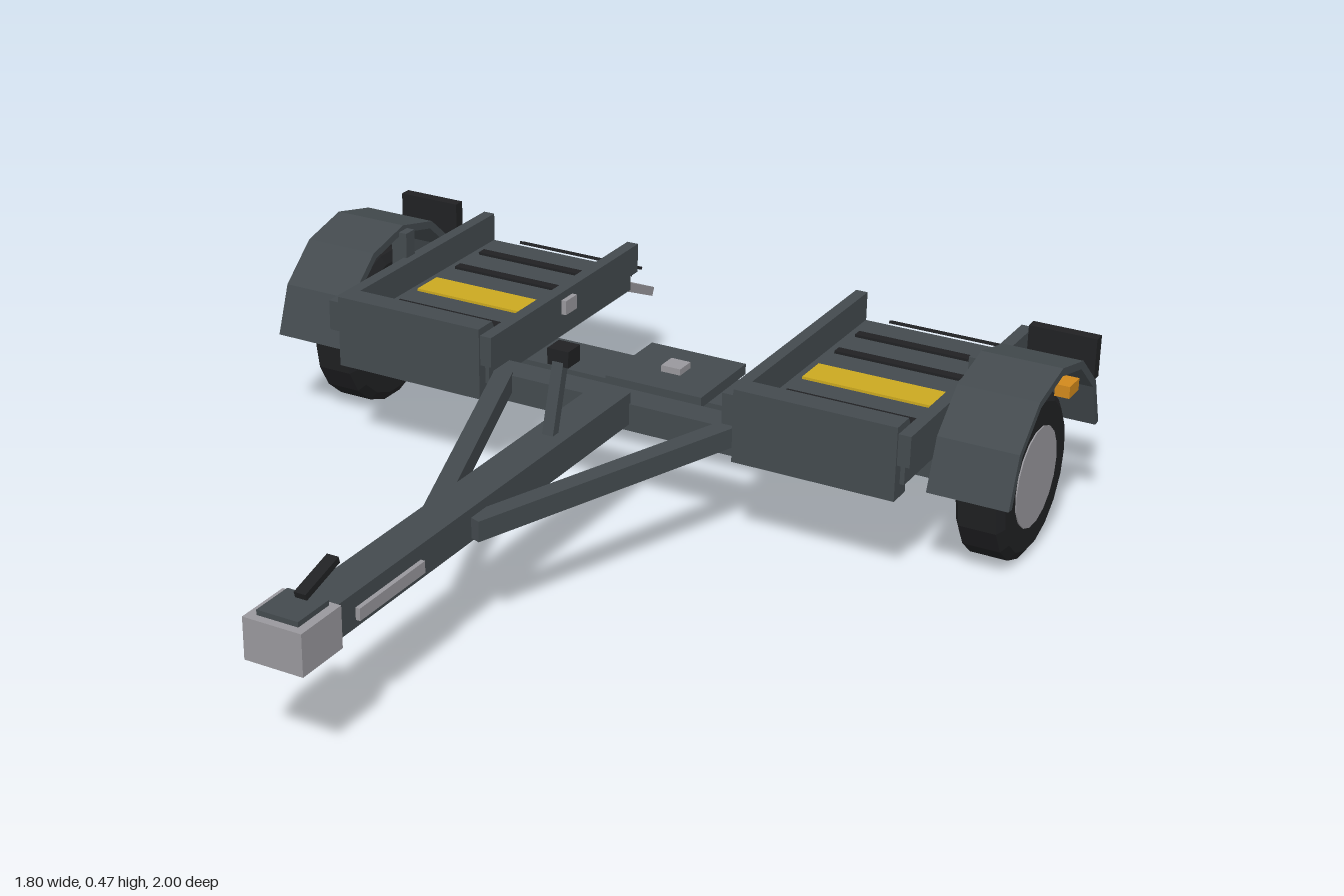
import * as THREE from 'three';

const mat = (name, color, flatShading = false) => {
  const m = new THREE.MeshStandardMaterial({ color, flatShading });
  m.name = name;
  return m;
};

export function createModel() {
  const frame = mat('slate frame paint', 0x434a4e);
  const steel = mat('galvanised steel', 0x98979c);
  const black = mat('black rubber', 0x202123);
  const yellow = mat('safety yellow', 0xcaa820);
  const red = mat('red lens', 0xb62a26);
  const amber = mat('amber lens', 0xd0881c);

  const root = new THREE.Group();
  root.name = 'towDolly';

  const add = (parent, name, geo, material) => {
    const m = new THREE.Mesh(geo, material);
    m.name = name;
    parent.add(m);
    return m;
  };
  // Box given by its limits on each axis
  const box = (parent, name, material, x0, x1, y0, y1, z0, z1) => {
    const m = add(parent, name, new THREE.BoxGeometry(Math.abs(x1 - x0), y1 - y0, z1 - z0), material);
    m.position.set((x0 + x1) / 2, (y0 + y1) / 2, (z0 + z1) / 2);
    return m;
  };
  // Box of width w and thickness t running between two points
  const bar = (parent, name, material, a, b, w, t) => {
    const p = new THREE.Vector3(...a), q = new THREE.Vector3(...b);
    const m = add(parent, name, new THREE.BoxGeometry(w, t, p.distanceTo(q)), material);
    m.position.copy(p).add(q).multiplyScalar(0.5);
    m.lookAt(q);
    return m;
  };
  // Shape drawn in (z, y), extruded across x and centred
  const acrossX = (points, width) => {
    const shape = new THREE.Shape(points.map(([z, y]) => new THREE.Vector2(z, y)));
    const g = new THREE.ExtrudeGeometry(shape, { depth: width, bevelEnabled: false });
    return g.translate(0, 0, -width / 2).rotateY(-Math.PI / 2);
  };

  // Tongue, crossbar and axle beam
  box(root, 'tongue', frame, -0.043, 0.043, 0.227, 0.3, -0.24, 0.88);
  box(root, 'crossbar', frame, -0.3, 0.3, 0.212, 0.275, -0.305, -0.235);
  box(root, 'axleBeam', frame, -0.75, 0.75, 0.157, 0.21, -0.6, -0.455);
  box(root, 'pivotPlate', frame, -0.12, 0.12, 0.21, 0.235, -0.635, -0.42);
  box(root, 'pivotBolt', steel, -0.024, 0.024, 0.235, 0.25, -0.55, -0.502);

  // Coupler with its latch handle
  box(root, 'coupler', steel, -0.065, 0.065, 0.226, 0.315, 0.875, 1);
  box(root, 'couplerCap', frame, -0.046, 0.046, 0.315, 0.326, 0.886, 0.982);
  bar(root, 'latchHandle', black, [0, 0.332, 0.91], [0, 0.362, 0.803], 0.026, 0.014);

  // Leaning jack post
  bar(root, 'jackPost', frame, [0, 0.295, 0.025], [0, 0.455, -0.02], 0.026, 0.022);
  box(root, 'jackHead', black, -0.025, 0.025, 0.44, 0.476, -0.055, -0.007);

  // Fender arch cross-section
  const arch = [];
  const archPoint = (deg, inset) => {
    const a = THREE.MathUtils.degToRad(deg);
    arch.push([-0.52 + (0.255 - inset) * Math.cos(a), 0.205 + (0.237 - inset) * Math.sin(a)]);
  };
  for (let i = 0; i <= 6; i++) archPoint(4 + i * 172 / 6, 0);
  for (let i = 6; i >= 0; i--) archPoint(4 + i * 172 / 6, 0.018);

  for (const s of [1, -1]) {
    const side = new THREE.Group();
    side.name = s > 0 ? 'leftSide' : 'rightSide';
    root.add(side);
    const part = (name, m, x0, x1, ...rest) => box(side, name, m, s * x0, s * x1, ...rest);

    // Diagonal brace and tongue marker plate
    bar(side, 'brace', frame, [s * 0.275, 0.257, -0.24], [s * 0.045, 0.257, 0.4], 0.042, 0.045);
    part('tonguePlate', steel, 0.043, 0.053, 0.243, 0.269, 0.58, 0.8);

    // Wheel pan: floor, rails, front stop
    part('panFloor', frame, 0.3, 0.69, 0.25, 0.303, -0.855, -0.22);
    part('panSaddle', frame, 0.36, 0.63, 0.2, 0.25, -0.6, -0.455);
    part('innerRail', frame, 0.282, 0.31, 0.3, 0.37, -0.857, -0.2);
    part('outerRail', frame, 0.68, 0.708, 0.3, 0.37, -0.857, -0.2);
    part('frontStop', frame, 0.31, 0.68, 0.22, 0.386, -0.25, -0.195);
    const chock = add(side, 'stopSlope', acrossX([[-0.25, 0.303], [-0.25, 0.384], [-0.3, 0.303]], 0.37), frame);
    chock.position.x = s * 0.495;
    part('railPlate', steel, 0.27, 0.282, 0.318, 0.352, -0.55, -0.502);

    // Grip strips and yellow band on the pan floor
    for (const z of [-0.765, -0.658, -0.4])
      part('gripStrip', black, 0.33, 0.66, 0.302, 0.309, z - 0.012, z + 0.012);
    part('yellowBand', yellow, 0.33, 0.66, 0.302, 0.309, -0.567, -0.485);

    // Rear ramp with raised strips
    bar(side, 'ramp', steel, [s * 0.497, 0.258, -0.85], [s * 0.497, 0.194, -0.996], 0.366, 0.022);
    for (const z of [-0.905, -0.955])
      bar(side, 'rampStrip', black, [s * 0.495, 0.261, z - 0.012], [s * 0.495, 0.271, z + 0.012], 0.33, 0.007);

    // Wheel: chamfered tyre and steel disc
    const tyreProfile = [[0.1, -0.055], [0.165, -0.055], [0.185, -0.042], [0.185, 0.042], [0.165, 0.055], [0.1, 0.055]]
      .map(([r, h]) => new THREE.Vector2(r, h));
    const tyreGeo = new THREE.LatheGeometry(tyreProfile, 18).toNonIndexed();
    tyreGeo.computeVertexNormals();
    const tyre = add(side, 'tyre', tyreGeo, black);
    const disc = add(side, 'wheelDisc', new THREE.CylinderGeometry(0.112, 0.112, 0.116, 18), steel);
    for (const w of [tyre, disc]) {
      w.rotation.z = Math.PI / 2;
      w.position.set(s * 0.805, 0.185, -0.52);
    }

    // Fender, bracket and side marker
    add(side, 'fender', acrossX(arch, 0.18), frame).position.x = s * 0.81;
    part('fenderBracket', frame, 0.7, 0.74, 0.33, 0.43, -0.537, -0.503);
    part('sideMarker', amber, 0.865, 0.898, 0.35, 0.377, -0.632, -0.578);

    // Tail lamp: amber outside, red inside
    part('tailLampHousing', black, 0.73, 0.885, 0.318, 0.413, -0.792, -0.765);
    part('redLens', red, 0.742, 0.812, 0.33, 0.402, -0.798, -0.792);
    part('amberLens', amber, 0.816, 0.873, 0.33, 0.402, -0.798, -0.792);
  }
  return root;
}
